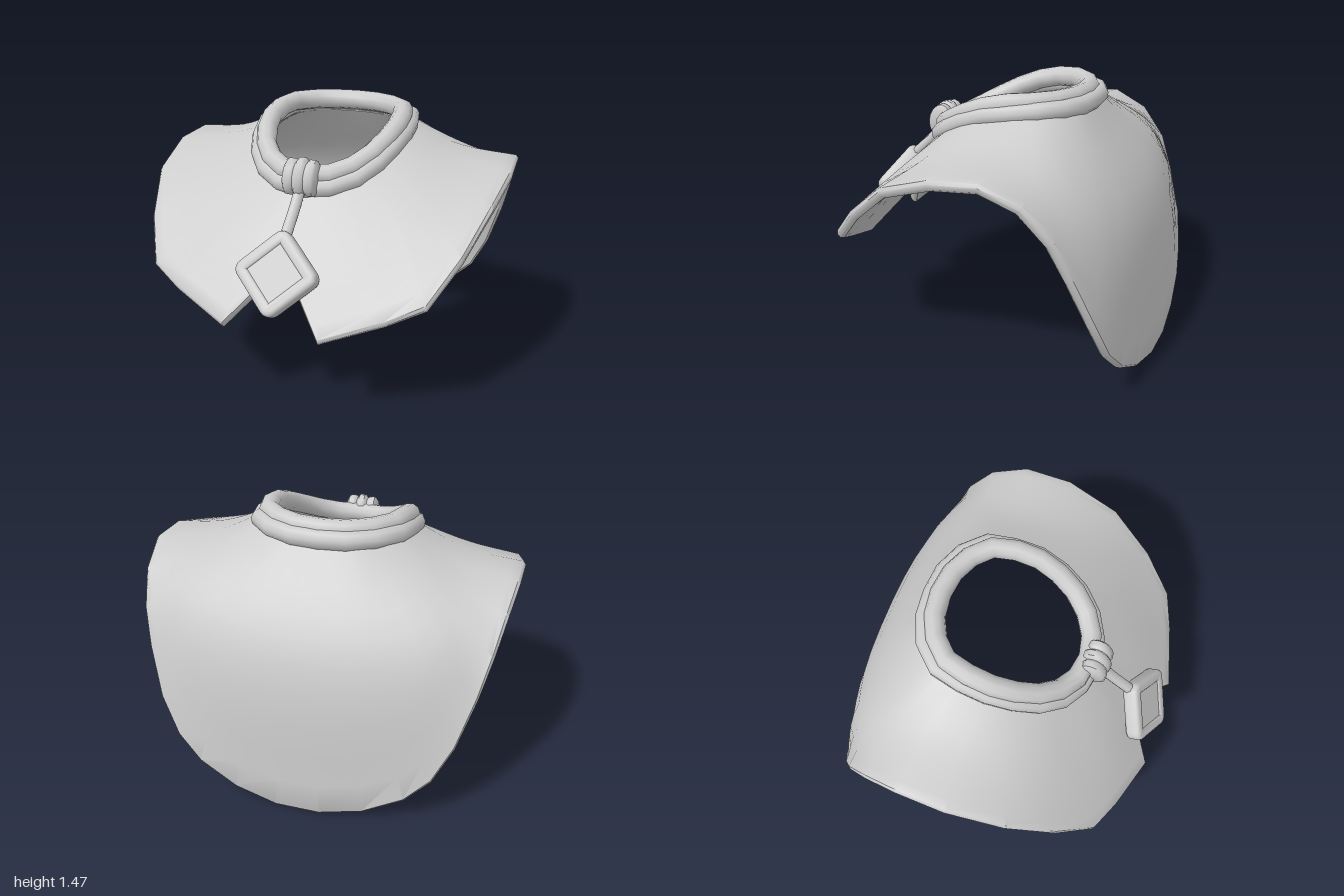
import * as THREE from 'three';
import { toCreasedNormals } from 'three/addons/utils/BufferGeometryUtils.js';

const V = (p) => new THREE.Vector3(...p);
const material = () => new THREE.MeshStandardMaterial({ color: 0xcccccc });

// Half paths of the two collar rolls, front to back along the +x side
const UPPER = [[0, 1.19, 0.40], [0.16, 1.20, 0.36], [0.29, 1.27, 0.24], [0.365, 1.37, 0.03],
  [0.355, 1.415, -0.16], [0.32, 1.42, -0.26], [0.18, 1.42, -0.37], [0, 1.42, -0.405]];
const LOWER = [[0, 1.12, 0.43], [0.2, 1.15, 0.37], [0.32, 1.22, 0.26], [0.40, 1.33, 0.03],
  [0.39, 1.37, -0.18], [0.355, 1.385, -0.3], [0.2, 1.385, -0.42], [0, 1.385, -0.45]];

// Cape columns: [position along the neck, point halfway down, point on the hem]
const COLUMNS = [
  [0, [0, 0.95, 0.56], [0, 0.80, 0.69]],
  [0.07, [0.17, 0.86, 0.65], [0.26, 0.51, 0.90]],
  [0.15, [0.38, 0.91, 0.58], [0.57, 0.62, 0.80]],
  [0.24, [0.53, 0.99, 0.47], [0.75, 0.70, 0.72]],
  [0.32, [0.62, 1.10, 0.34], [0.87, 0.89, 0.53]],
  [0.40, [0.67, 1.19, 0.16], [0.96, 1.09, 0.28]],
  [0.47, [0.68, 1.24, -0.04], [1.00, 1.19, -0.02]],
  [0.60, [0.68, 1.25, -0.24], [0.99, 1.21, -0.28]],
  [0.67, [0.70, 1.20, -0.42], [0.96, 1.12, -0.48]],
  [0.71, [0.69, 1.13, -0.54], [0.92, 0.95, -0.62]],
  [0.76, [0.66, 1.04, -0.63], [0.87, 0.75, -0.70]],
  [0.80, [0.58, 0.97, -0.70], [0.79, 0.50, -0.785]],
  [0.85, [0.48, 0.92, -0.74], [0.69, 0.30, -0.83]],
  [0.89, [0.38, 0.89, -0.77], [0.56, 0.17, -0.86]],
  [0.93, [0.25, 0.87, -0.79], [0.35, 0.06, -0.885]],
  [0.97, [0.09, 0.86, -0.80], [0.12, 0.005, -0.90]],
];

// Closed grid surface from rows-per-column point lists
function gridGeometry(columns, closeRows) {
  const n = columns.length, m = columns[0].length, index = [];
  for (let i = 0; i < n; i++) {
    for (let j = 0; j < (closeRows ? m : m - 1); j++) {
      const k = (i + 1) % n, l = (j + 1) % m;
      const a = i * m + j, b = i * m + l, c = k * m + l, d = k * m + j;
      index.push(a, b, d, b, c, d);
    }
  }
  const g = new THREE.BufferGeometry().setFromPoints(columns.flat());
  g.setIndex(index);
  g.computeVertexNormals();
  return g;
}

// Thick cape with a rounded hem and a notch in the front
function capeGeometry() {
  const neck = new THREE.CatmullRomCurve3(LOWER.map(V));
  const half = COLUMNS.map(([u, mid, hem]) =>
    new THREE.CatmullRomCurve3([neck.getPointAt(u), V(mid), V(hem)]).getPoints(10));
  const mirrored = half.slice(1).reverse().map((col) => col.map((p) => V([-p.x, p.y, p.z])));
  const outer = [...half, ...mirrored];
  const normals = gridGeometry(outer, false).attributes.normal;
  const thickness = 0.055;
  const sections = outer.map((col, i) => {
    const last = col.length - 1;
    const pull = col[last - 1].clone().sub(col[last]).setLength(0.015);
    const sink = (p, j, d) => p.clone().addScaledVector(
      new THREE.Vector3().fromBufferAttribute(normals, i * col.length + j), -d);
    const top = col.map((p, j) => (j === last ? p.clone().add(pull) : p.clone()));
    const under = top.map((p, j) => sink(p, j, thickness)).reverse();
    return [...top, sink(col[last], last, 0.015), sink(col[last], last, thickness - 0.015), ...under];
  });
  return toCreasedNormals(gridGeometry(sections, true), 0.8);
}

// Padded roll around the neck
function rollGeometry(path, radius) {
  const mirror = path.slice(1, -1).reverse().map(([x, y, z]) => [-x, y, z]);
  const curve = new THREE.CatmullRomCurve3([...path, ...mirror].map(V), true);
  return new THREE.TubeGeometry(curve, 20, radius, 10, true);
}

// Square standing on its corner, with softened corners
function diamond(Path, r, soft) {
  const s = new Path();
  const corners = [[0, r], [-r, 0], [0, -r], [r, 0]];
  corners.forEach(([x, y], i) => {
    const [px, py] = corners[(i + 3) % 4], [nx, ny] = corners[(i + 1) % 4];
    const ax = x + (px - x) * soft, ay = y + (py - y) * soft;
    if (i === 0) s.moveTo(ax, ay); else s.lineTo(ax, ay);
    s.quadraticCurveTo(x, y, x + (nx - x) * soft, y + (ny - y) * soft);
  });
  s.closePath();
  return s;
}

export function createModel() {
  const model = new THREE.Group();
  model.name = 'shoulderCape';
  const add = (name, geometry, parent = model) => {
    const mesh = new THREE.Mesh(geometry, material());
    mesh.name = name;
    parent.add(mesh);
    return mesh;
  };

  add('cape', capeGeometry());
  add('upperCollarRoll', rollGeometry(UPPER, 0.056));
  add('lowerCollarRoll', rollGeometry(LOWER, 0.052));

  // Knot of three lobes wrapped around the collar
  const profile = [[0, -0.088], [0.07, -0.088], [0.09, -0.075], [0.092, -0.045], [0.08, -0.03],
    [0.1, -0.015], [0.1, 0.015], [0.08, 0.03], [0.092, 0.045], [0.09, 0.075], [0.07, 0.088], [0, 0.088]];
  const knotShape = new THREE.LatheGeometry(profile.map((p) => new THREE.Vector2(...p)), 14);
  knotShape.rotateZ(Math.PI / 2).scale(1, 1.05, 0.75);
  const knot = add('knot', toCreasedNormals(knotShape, 0.9));
  knot.position.set(0, 1.185, 0.445);
  knot.rotation.x = -0.35;

  // Cord from the knot to the pendant
  const cord = new THREE.CatmullRomCurve3([V([0, 1.14, 0.46]), V([0, 1.05, 0.54]), V([0, 0.93, 0.67])]);
  add('cord', new THREE.TubeGeometry(cord, 6, 0.031, 8));

  // Pendant: bevelled frame around a slightly sunken panel
  const pendant = new THREE.Group();
  pendant.name = 'pendant';
  pendant.position.set(0, 0.785, 0.78);
  pendant.rotation.x = -0.54;
  model.add(pendant);
  const bevel = { bevelEnabled: true, bevelThickness: 0.022, bevelSize: 0.022, bevelSegments: 3, curveSegments: 5 };
  const frameShape = diamond(THREE.Shape, 0.207, 0.12);
  frameShape.holes.push(diamond(THREE.Path, 0.175, 0.06));
  const frame = new THREE.ExtrudeGeometry(frameShape, { ...bevel, depth: 0.045 });
  add('pendantFrame', toCreasedNormals(frame, 0.7), pendant).position.z = -0.035;
  const panel = new THREE.ExtrudeGeometry(diamond(THREE.Shape, 0.18, 0.06), { depth: 0.072, bevelEnabled: false });
  add('pendantPanel', panel, pendant).position.z = -0.05;

  return model;
}
